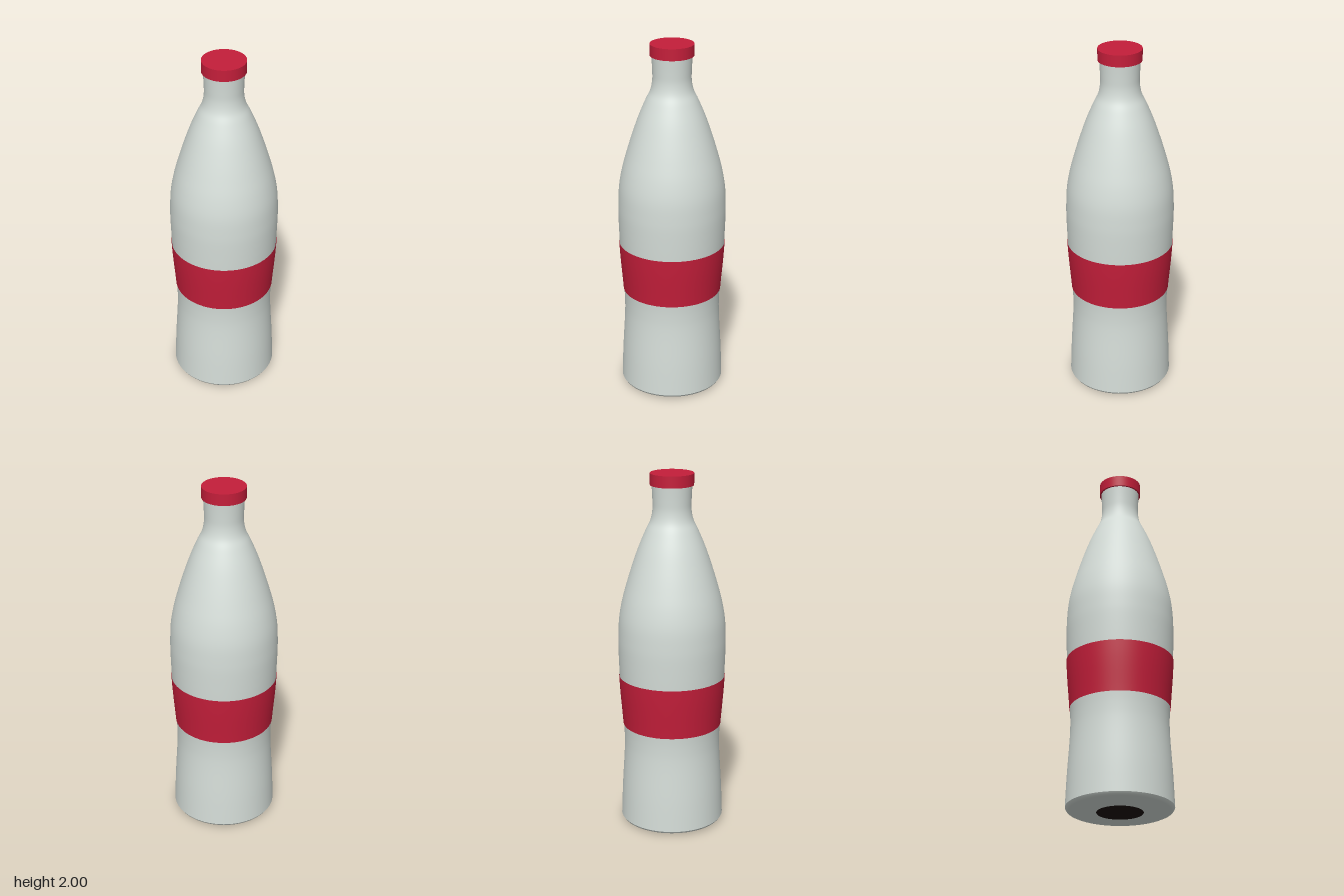
import * as THREE from 'three';

const SEGMENTS = 64;
const v2 = (x, y) => new THREE.Vector2(x, y);

// Side profile of the bottle wall, as [radius, height]
const wall = new THREE.SplineCurve([
  [0.29, 0.025], [0.283, 0.2], [0.271, 0.4], [0.269, 0.5], [0.274, 0.6], [0.29, 0.8],
  [0.298, 1.0], [0.298, 1.1], [0.292, 1.2], [0.274, 1.3], [0.247, 1.4], [0.216, 1.5],
  [0.181, 1.6], [0.143, 1.69], [0.117, 1.745], [0.106, 1.8], [0.106, 1.86], [0.11, 1.94],
].map(([r, y]) => v2(r, y))).getPoints(85);

// Wall radius at a height
function radiusAt(y) {
  const i = Math.max(1, wall.findIndex((p) => p.y >= y));
  const a = wall[i - 1], b = wall[i];
  return THREE.MathUtils.lerp(a.x, b.x, (y - a.y) / (b.y - a.y));
}

export function createModel() {
  const group = new THREE.Group();
  const glass = new THREE.MeshStandardMaterial({ color: 0xd5ddd8, side: THREE.DoubleSide });
  const red = new THREE.MeshStandardMaterial({ color: 0xc41e3a, side: THREE.DoubleSide });
  const dark = new THREE.MeshStandardMaterial({ color: 0x1a0f0a });

  const add = (name, geometry, material) => {
    const mesh = new THREE.Mesh(geometry, material);
    mesh.name = name;
    group.add(mesh);
    return mesh;
  };

  // Bottle wall from base to lip
  add('bottleBody', new THREE.LatheGeometry(wall, SEGMENTS), glass);

  // Shallow base with a rounded rim
  add('base', new THREE.LatheGeometry([
    v2(0.12, 0.001), v2(0.27, 0.008), v2(0.283, 0.014), v2(0.29, 0.025),
  ], SEGMENTS), glass);

  // Dark disc in the middle of the base
  const disc = add('baseDisc', new THREE.CircleGeometry(0.125, SEGMENTS), dark);
  disc.rotation.x = Math.PI / 2;

  // Label band hugging the wall
  const band = [];
  for (let i = 0; i <= 12; i++) {
    const y = THREE.MathUtils.lerp(0.58, 0.866, i / 12);
    band.push(v2(radiusAt(y) + 0.003, y));
  }
  add('label', new THREE.LatheGeometry(band, SEGMENTS), red);

  // Flat cap over the lip
  const cap = add('cap', new THREE.CylinderGeometry(0.119, 0.119, 0.064, SEGMENTS), red);
  cap.position.y = 1.968;

  return group;
}
